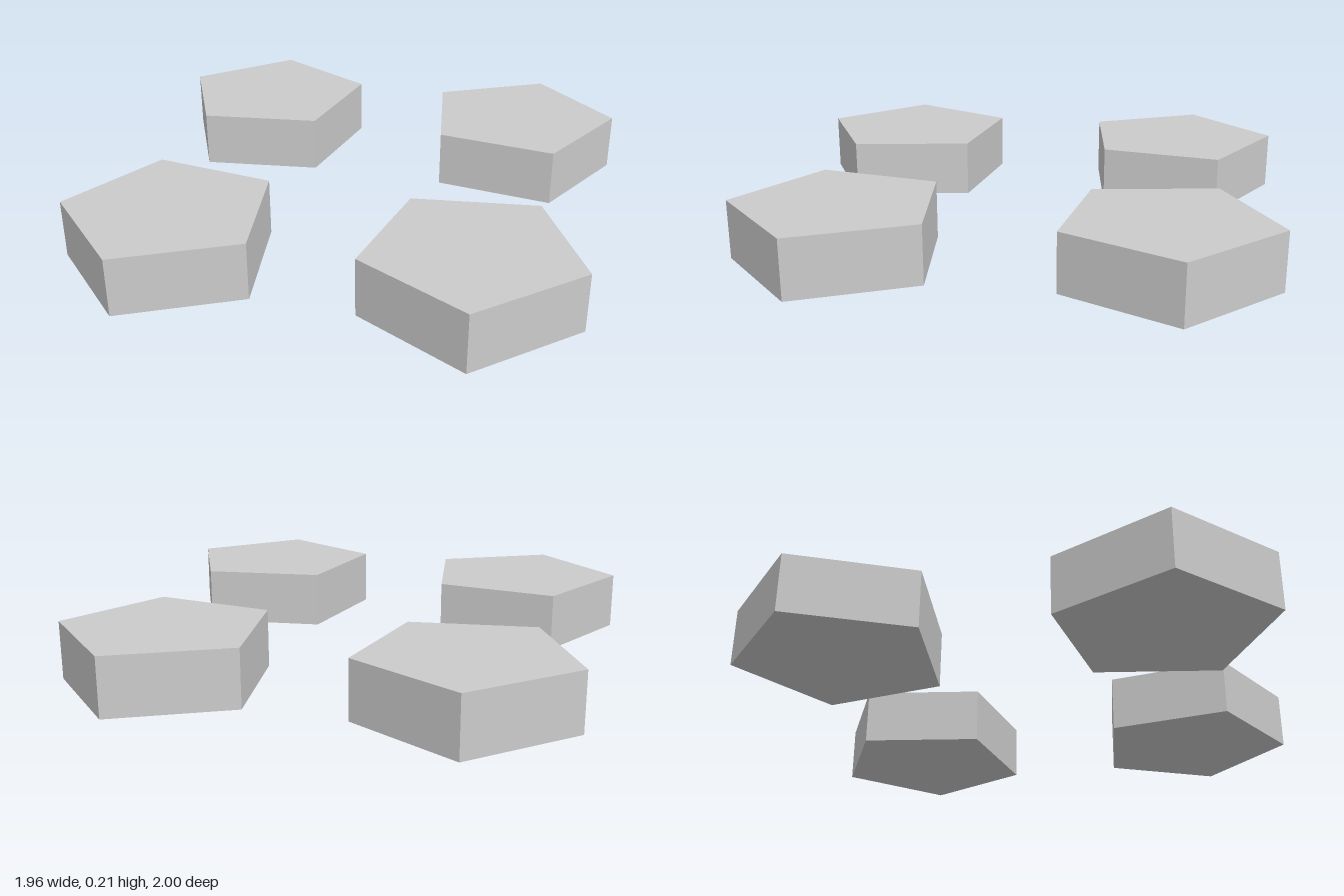
import * as THREE from 'three';

const RADIUS = 0.376;
const HEIGHT = 0.207;

export function createModel() {
  const group = new THREE.Group();
  group.name = 'pentagonBlocks';

  const material = new THREE.MeshStandardMaterial({ color: 0xcccccc, flatShading: true });
  const geometry = new THREE.CylinderGeometry(RADIUS, RADIUS, HEIGHT, 5);

  // One pentagonal slab; its tip points to +z before turning
  function addBlock(name, x, z, degrees) {
    const block = new THREE.Mesh(geometry, material);
    block.name = name;
    block.position.set(x, HEIGHT / 2, z);
    block.rotation.y = THREE.MathUtils.degToRad(degrees);
    group.add(block);
  }

  // Two opposite pairs, each block a half turn from its partner
  addBlock('leftBlock', 0.604, 0.446, 90);
  addBlock('rightBlock', -0.604, -0.446, -90);
  addBlock('frontBlock', -0.413, 0.625, 2);
  addBlock('backBlock', 0.413, -0.625, 182);

  return group;
}
